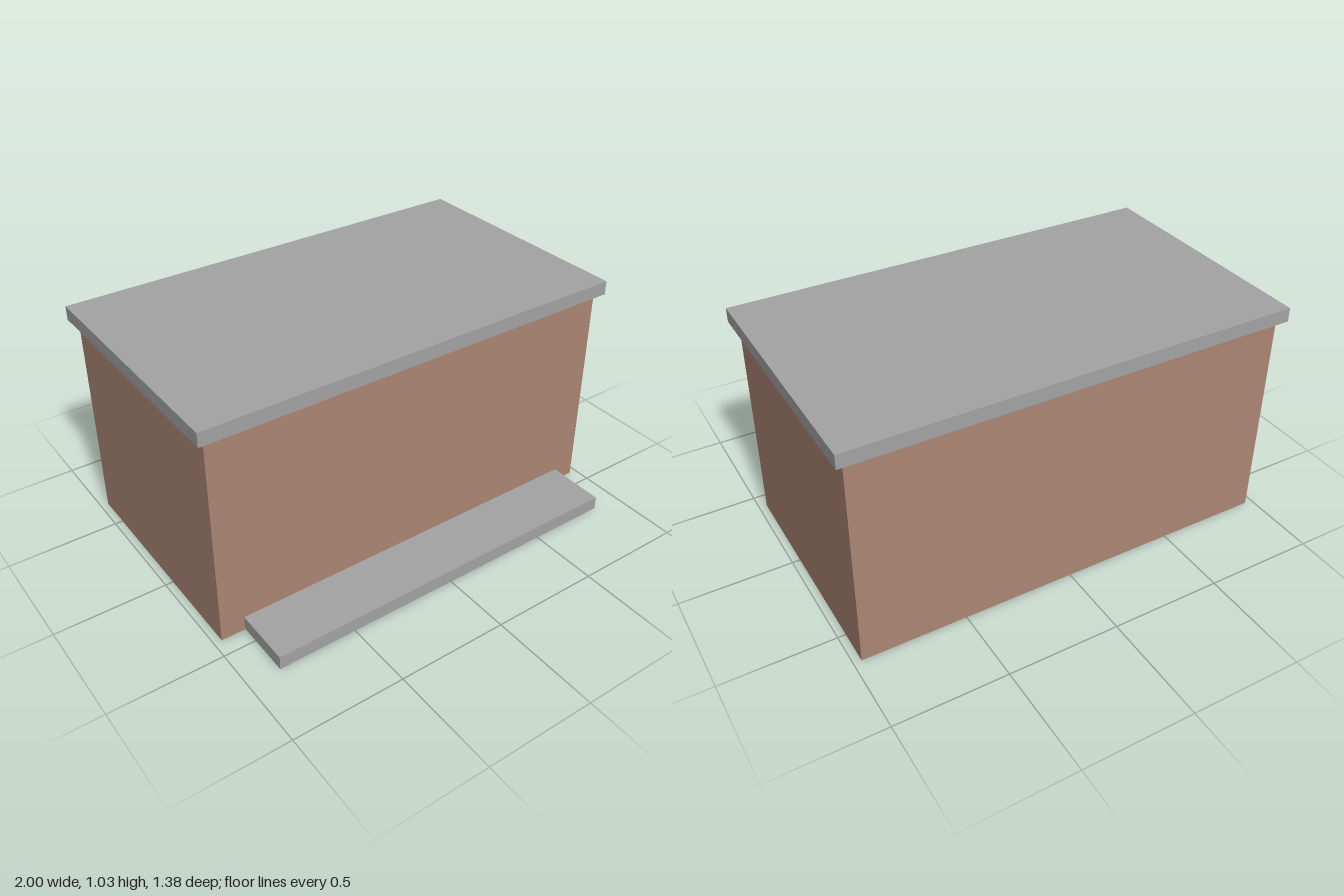
import * as THREE from 'three';

const brick = new THREE.MeshStandardMaterial({ color: 0xab8674 });
brick.name = 'brick brown';
const concrete = new THREE.MeshStandardMaterial({ color: 0xa3a3a3 });
concrete.name = 'concrete grey';

// Box centred on x, spanning the given heights and depths
function slab(name, material, width, [y0, y1], [z0, z1]) {
  const mesh = new THREE.Mesh(new THREE.BoxGeometry(width, y1 - y0, z1 - z0), material);
  mesh.name = name;
  mesh.position.set(0, (y0 + y1) / 2, (z0 + z1) / 2);
  return mesh;
}

export function createModel() {
  const model = new THREE.Group();
  model.name = 'building';
  model.add(
    // Main block
    slab('walls', brick, 1.93, [0, 0.972], [-0.656, 0.42]),
    // Flat roof with a small overhang all round
    slab('roof', concrete, 2, [0.972, 1.035], [-0.687, 0.452]),
    // Low step along the front
    slab('frontStep', concrete, 1.715, [0.004, 0.066], [0.42, 0.688]),
  );
  return model;
}
